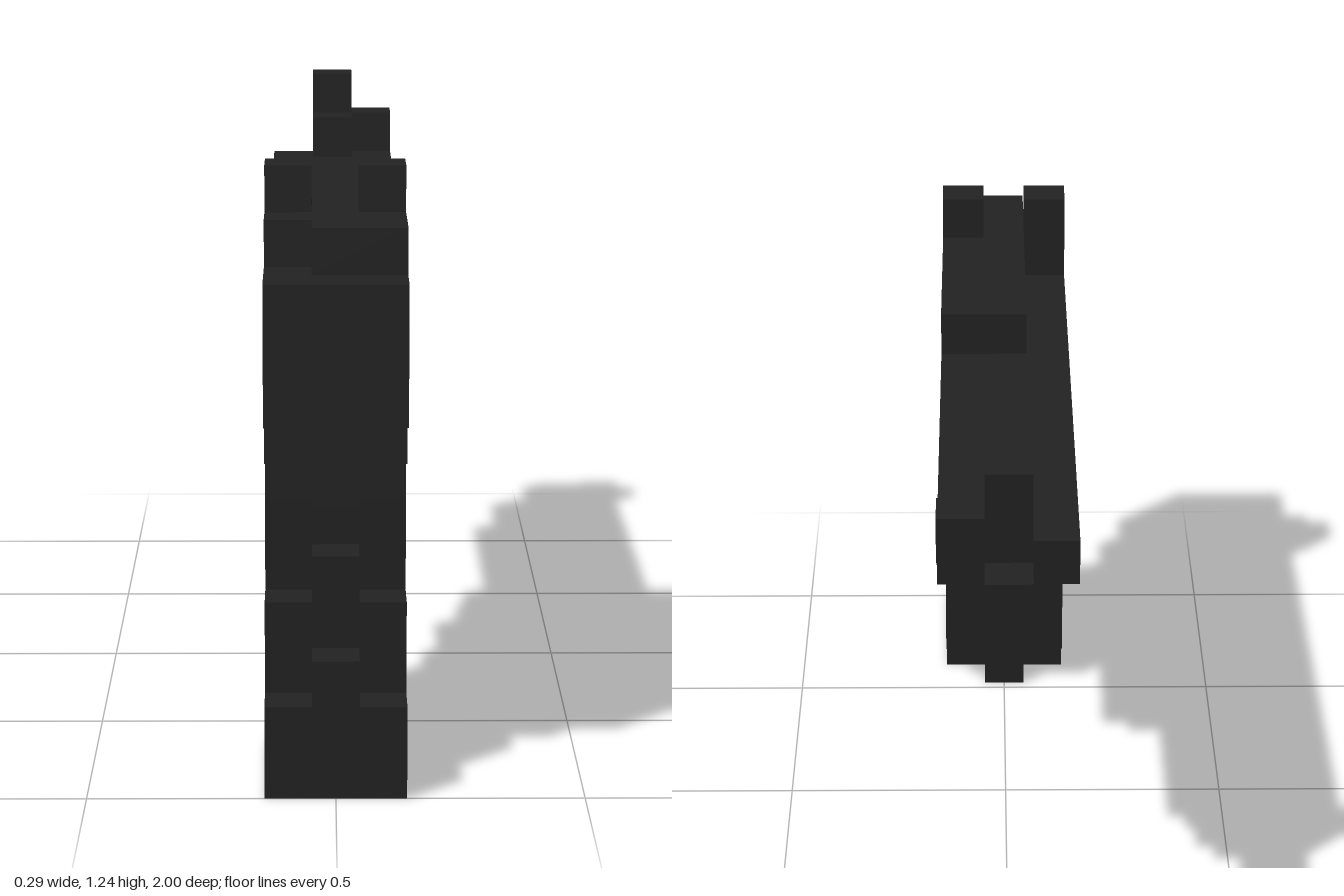
import * as THREE from 'three';
import { mergeGeometries } from 'three/addons/utils/BufferGeometryUtils.js';

const U = 2 / 21; // one block: 3 wide (x), 13 high (y), 21 long (z)

// Block range: x from -x to +x, k from z = 1 towards z = -1, r upwards from the ground
function block([x0, x1, k0, k1, r0, r1]) {
  const g = new THREE.BoxGeometry((x1 - x0) * U, (r1 - r0) * U, (k1 - k0) * U);
  g.translate(((x0 + x1) / 2 - 1.5) * U, ((r0 + r1) / 2) * U, 1 - ((k0 + k1) / 2) * U);
  return g;
}

export function createModel() {
  const model = new THREE.Group();
  model.name = 'blockPistol';
  const gunmetal = new THREE.MeshStandardMaterial({ color: 0x222222 });
  gunmetal.name = 'gunmetal';

  const part = (name, blocks) => {
    const mesh = new THREE.Mesh(mergeGeometries(blocks.map(block)), gunmetal);
    mesh.name = name;
    model.add(mesh);
  };
  // Centre column only
  const mid = (k0, k1, r0, r1) => [1, 2, k0, k1, r0, r1];
  // Full width
  const full = (k0, k1, r0, r1) => [0, 3, k0, k1, r0, r1];

  // Long body, stepped underneath towards the muzzle
  part('barrelBody', [full(0, 19, 10, 11), full(0, 17, 9, 10), full(0, 11, 8, 9)]);
  part('underBarrelRail', [mid(17, 19, 9, 10), mid(11, 17, 8, 9)]);
  part('muzzle', [mid(19, 21, 10, 11)]);

  // Raised cover, offset to one side
  part('topCover', [[1, 3, 1, 9, 11, 12], [0, 1, 2, 4, 11, 12]]);

  // Sights
  part('rearSight', [[0, 1, 3, 4, 12, 13], [2, 3, 3, 4, 12, 13]]);
  part('frontSight', [mid(18, 20, 11, 12), mid(19, 20, 12, 13), [2, 3, 19, 20, 11, 12]]);

  // Grip, stepped on both edges
  part('grip', [
    full(1, 7, 7, 8), full(2, 7, 6, 7), full(2, 6, 4, 6),
    full(1, 5, 2, 4), full(0, 5, 1, 2),
  ]);

  // Base of the grip with an open slot in the middle
  part('gripBase', [
    [0, 1, 0, 4, 0, 1], [2, 3, 0, 4, 0, 1], mid(0, 2, 0, 1), mid(4, 5, 0, 1),
  ]);

  // Centre ridges that round off the steps of the grip
  part('gripRidges', [
    mid(0, 1, 7, 8), mid(1, 2, 6, 7), mid(1, 2, 4, 5), mid(0, 1, 2, 3), mid(5, 6, 3, 4),
  ]);

  // Trigger and the guard around it
  part('triggerGuard', [mid(7, 8, 7, 8), mid(7, 9, 6, 7), mid(6, 10, 5, 6)]);
  part('trigger', [mid(10, 11, 6, 8)]);

  return model;
}
